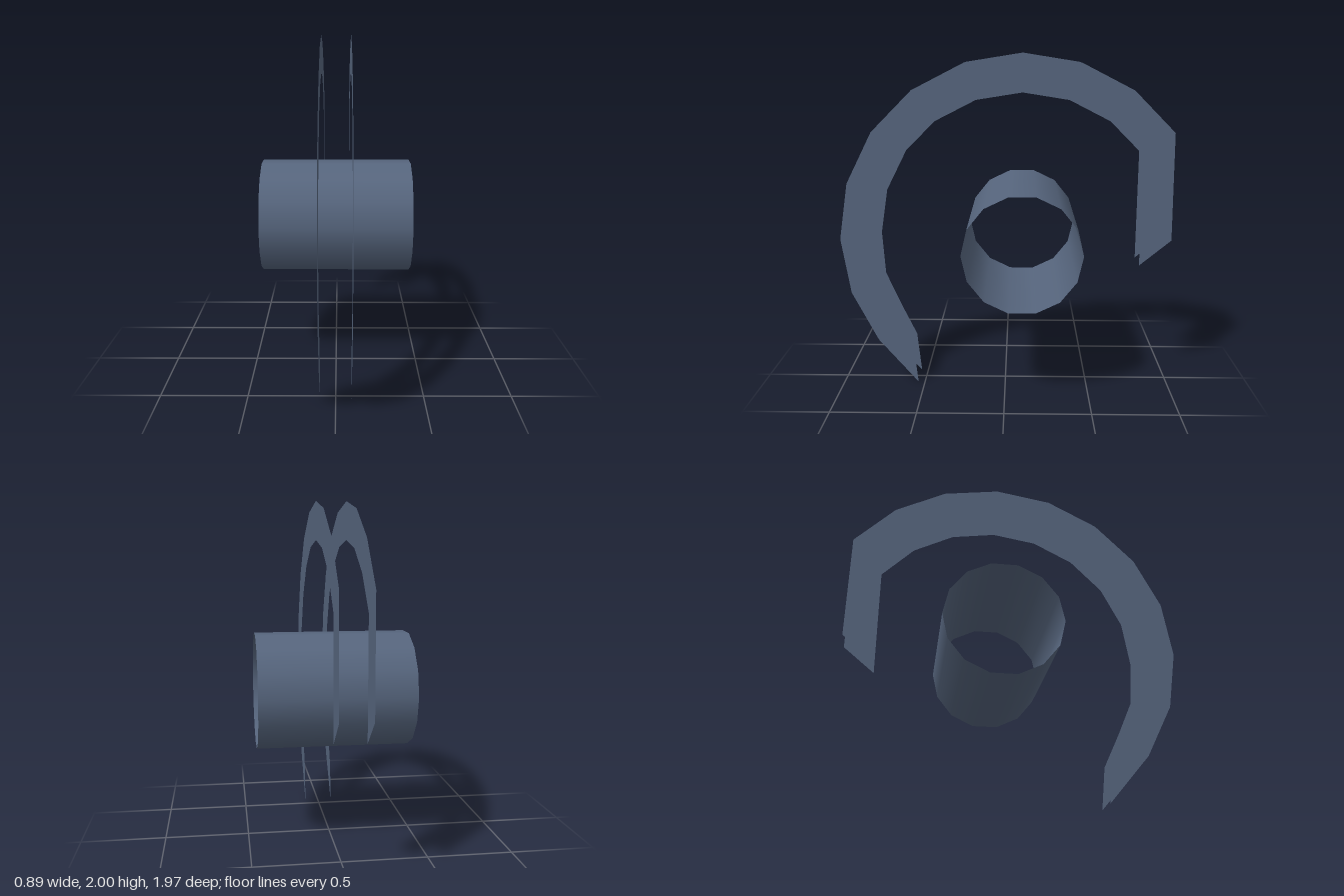
import * as THREE from 'three';

export function createModel() {
  const model = new THREE.Group();
  const material = new THREE.MeshStandardMaterial({ color: 0x56657d, side: THREE.DoubleSide });
  const centerY = 0.917, centerZ = -0.1;

  // Open 14-sided tube lying across x
  const tubeGeometry = new THREE.CylinderGeometry(0.34, 0.34, 0.895, 14, 1, true);
  tubeGeometry.rotateZ(Math.PI / 2);
  const tube = new THREE.Mesh(tubeGeometry, material);
  tube.name = 'tube';
  tube.position.set(0, centerY, centerZ);
  model.add(tube);

  // Hook outline as [z, y]: an 18-degree-step arc with a tapered front tip and a straight back end
  const arc = (radius, from, to) => {
    const points = [];
    for (let i = from; i <= to; i++) {
      const a = i * Math.PI / 10;
      points.push([centerZ + radius * Math.cos(a), centerY + radius * Math.sin(a)]);
    }
    return points;
  };
  const outline = [
    [0.54, 0.005], ...arc(1.086, -2, 8), [-0.986, 0.917],
    [-0.8, 0.762], ...arc(0.867, 0, 8).reverse(),
    [0.75, 0.655], [0.663, 0.455], [0.566, 0.25],
  ];
  // Lowest tip rests on the ground
  outline[0][1] = 0;
  const hookGeometry = new THREE.ShapeGeometry(
    new THREE.Shape(outline.map(([z, y]) => new THREE.Vector2(z, y))));
  hookGeometry.rotateY(-Math.PI / 2);

  // Two thin parallel hooks around the tube
  for (const [name, x] of [['leftHook', 0.088], ['rightHook', -0.088]]) {
    const hook = new THREE.Mesh(hookGeometry, material);
    hook.name = name;
    hook.position.x = x;
    model.add(hook);
  }
  return model;
}
